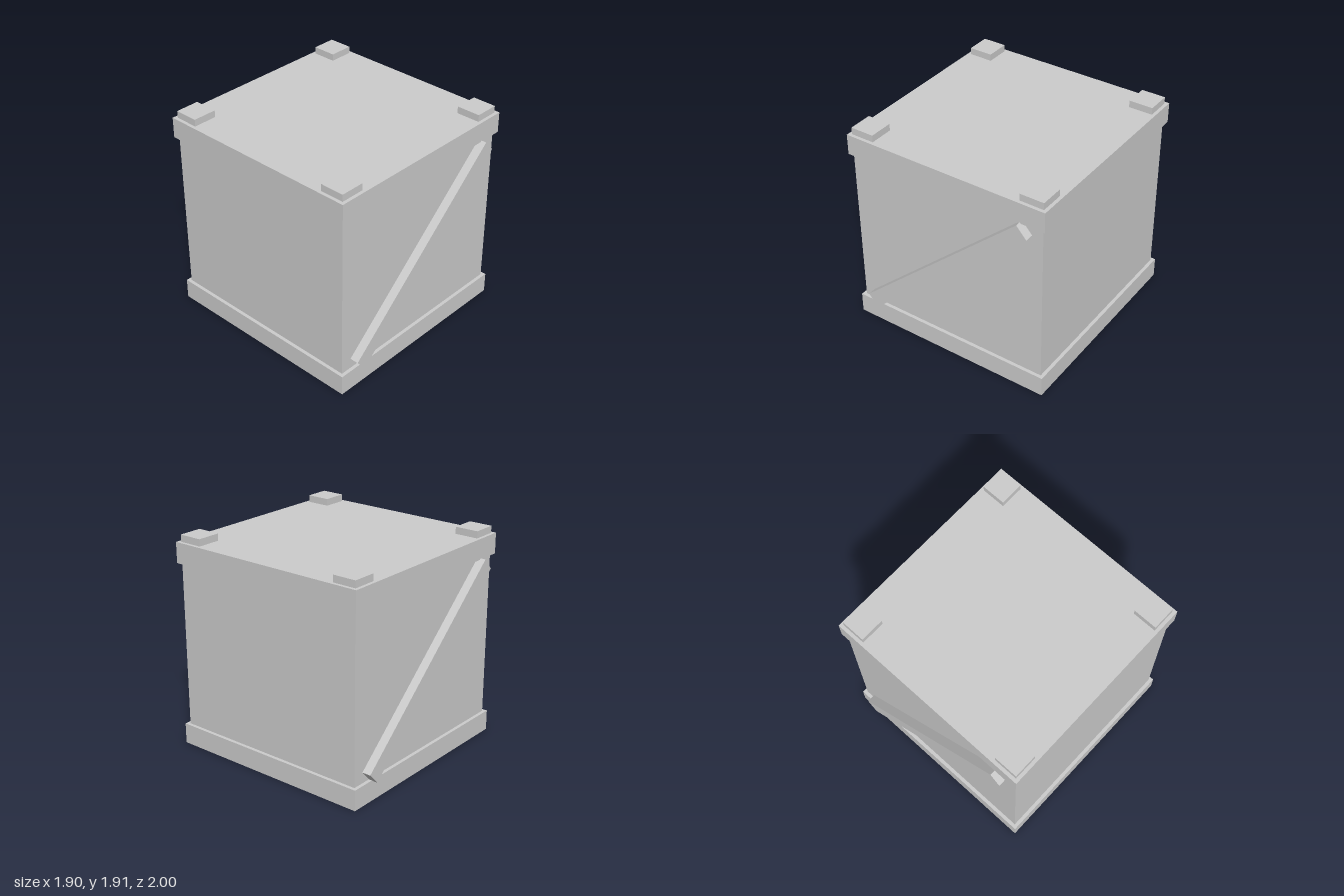
import * as THREE from 'three';

export function createModel() {
  const crate = new THREE.Group();
  crate.name = 'crate';
  const grey = new THREE.MeshStandardMaterial({ name: 'lightGrey', color: 0xcccccc });

  // Box resting on height y0 and ending at y1
  const box = (name, width, depth, y0, y1, x = 0, z = 0) => {
    const mesh = new THREE.Mesh(new THREE.BoxGeometry(width, y1 - y0, depth), grey);
    mesh.name = name;
    mesh.position.set(x, (y0 + y1) / 2, z);
    crate.add(mesh);
  };

  // Body between a slightly wider base and lid
  box('body', 1.843, 1.843, 0.184, 1.664);
  box('base', 1.904, 1.904, 0, 0.184);
  box('lid', 1.904, 1.904, 1.664, 1.848);

  // Four corner blocks on the lid
  for (const x of [-1, 1]) {
    for (const z of [-1, 1]) {
      box('cornerBlock', 0.216, 0.216, 1.848, 1.91, x * 0.814, z * 0.814);
    }
  }

  // Diagonal braces on the front and, turned half round, on the back
  for (const [name, turn] of [['frontBrace', 0], ['backBrace', Math.PI]]) {
    const brace = new THREE.Mesh(new THREE.BoxGeometry(2.085, 0.138, 0.079), grey);
    brace.position.set(0, 0.926, 0.9605);
    brace.rotation.z = THREE.MathUtils.degToRad(42);
    const side = new THREE.Group();
    side.name = name;
    side.rotation.y = turn;
    side.add(brace);
    crate.add(side);
  }

  return crate;
}
